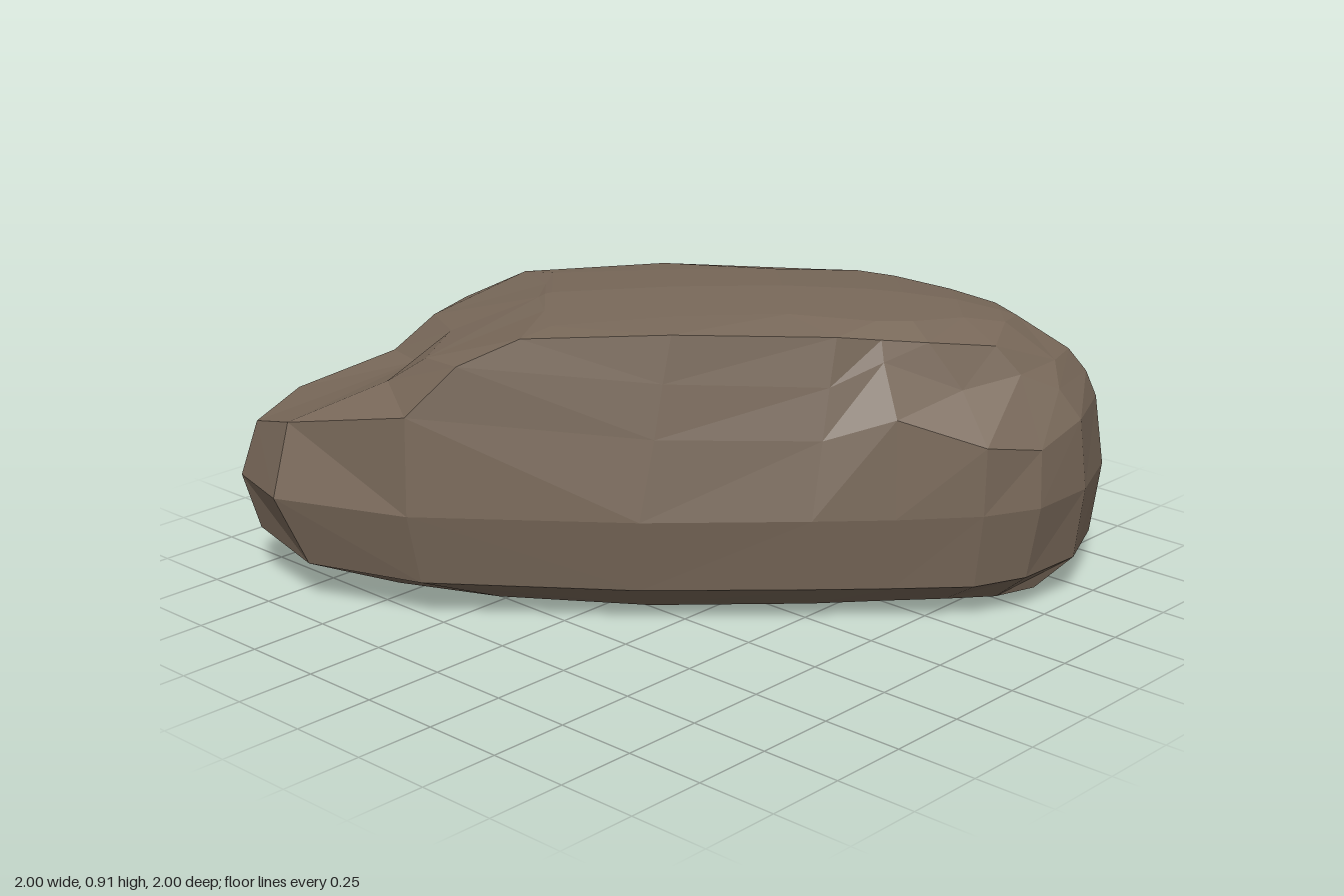
import * as THREE from 'three';

// Half rings from nose to tail; each point is [along, across, height].
const lowerRings = [
  // underside
  [[-0.96, 0, 0.035], [-0.85, 0.13, 0.035], [-0.55, 0.21, 0.02], [-0.1, 0.25, 0.002], [0.38, 0.25, 0], [0.6, 0.24, 0.002], [0.78, 0.25, 0.01], [0.93, 0.26, 0.02], [1.05, 0.22, 0.03], [1.13, 0, 0.03]],
  // sill
  [[-1.27, 0, 0.17], [-1.11, 0.19, 0.125], [-0.77, 0.34, 0.12], [-0.134, 0.41, 0.115], [0.37, 0.42, 0.115], [0.6, 0.42, 0.115], [0.84, 0.415, 0.115], [1.0, 0.36, 0.12], [1.165, 0.215, 0.125], [1.25, 0, 0.125]],
  // widest line
  [[-1.32, 0, 0.34], [-1.202, 0.212, 0.34], [-0.803, 0.378, 0.34], [-0.134, 0.45, 0.34], [0.36, 0.455, 0.34], [0.6, 0.452, 0.34], [0.856, 0.445, 0.345], [1.03, 0.385, 0.345], [1.188, 0.226, 0.345], [1.28, 0, 0.345]],
];
const upperRings = [
  // shoulder
  [[-1.266, 0, 0.51], [-1.155, 0.165, 0.56], [-0.8, 0.36, 0.635], [-0.09, 0.419, 0.58], [0.39, 0.416, 0.57], [0.6, 0.43, 0.635], [0.86, 0.44, 0.55], [1.03, 0.36, 0.515], [1.166, 0.22, 0.56], [1.25, 0, 0.56]],
  // hood end, pillar feet and rear deck
  [[-0.785, 0, 0.69], [-0.86, 0.153, 0.68], [-0.65, 0.357, 0.785], [-0.065, 0.398, 0.74], [0.41, 0.385, 0.72], [0.566, 0.357, 0.785], [0.8, 0.315, 0.685], [0.98, 0.235, 0.705], [1.1, 0.205, 0.65], [1.216, 0, 0.64]],
  // windscreen foot and roof edge
  [[-0.68, 0, 0.785], [-0.742, 0.219, 0.77], [-0.467, 0.354, 0.865], [-0.04, 0.38, 0.88], [0.43, 0.36, 0.862], [0.56, 0.335, 0.845], [0.7, 0.3, 0.825], [0.905, 0.226, 0.79], [1.1, 0.113, 0.71], [1.16, 0, 0.71]],
  // inner roof
  [[-0.42, 0, 0.885], [-0.4, 0.14, 0.885], [-0.38, 0.28, 0.88], [-0.02, 0.25, 0.896], [0.3, 0.24, 0.897], [0.55, 0.27, 0.882], [0.66, 0.24, 0.872], [0.82, 0.15, 0.855], [0.95, 0.1, 0.825], [1.0, 0, 0.815]],
];

// Joins the rings into one mirrored shell, standing diagonally on the ground.
function bodyGeometry() {
  const roof = upperRings[upperRings.length - 1];
  const keel = lowerRings[0].map(([u, , y]) => [u, 0, y]);
  const ridge = roof.map(([u, v, y]) => [u, 0, y + v * 0.07]);
  const rings = [keel, ...lowerRings, ...upperRings, ridge];
  const positions = [];

  const addTriangle = (side, a, b, c) => {
    const points = (side > 0 ? [a, b, c] : [a, c, b]).map(([u, v, y]) =>
      new THREE.Vector3((u + side * v) * Math.SQRT1_2, y, (side * v - u) * Math.SQRT1_2));
    if (new THREE.Triangle(...points).getArea() < 1e-7) return;
    points.forEach((p) => positions.push(p.x, p.y, p.z));
  };

  for (const side of [1, -1]) {
    for (let r = 0; r < rings.length - 1; r++) {
      for (let c = 0; c < rings[r].length - 1; c++) {
        const a = rings[r][c], b = rings[r][c + 1];
        const d = rings[r + 1][c], e = rings[r + 1][c + 1];
        // creases lean back along the front, forward along the rear
        if (c < 3) {
          addTriangle(side, a, b, d);
          addTriangle(side, b, e, d);
        } else {
          addTriangle(side, a, b, e);
          addTriangle(side, a, e, d);
        }
      }
    }
  }
  const geometry = new THREE.BufferGeometry();
  geometry.setAttribute('position', new THREE.Float32BufferAttribute(positions, 3));
  geometry.computeVertexNormals();
  return geometry;
}

export function createModel() {
  const brown = new THREE.MeshStandardMaterial({ color: 0x786859, flatShading: true });
  brown.name = 'earth brown';
  const body = new THREE.Mesh(bodyGeometry(), brown);
  body.name = 'body';
  const model = new THREE.Group();
  model.name = 'carShapedRock';
  model.add(body);
  return model;
}
